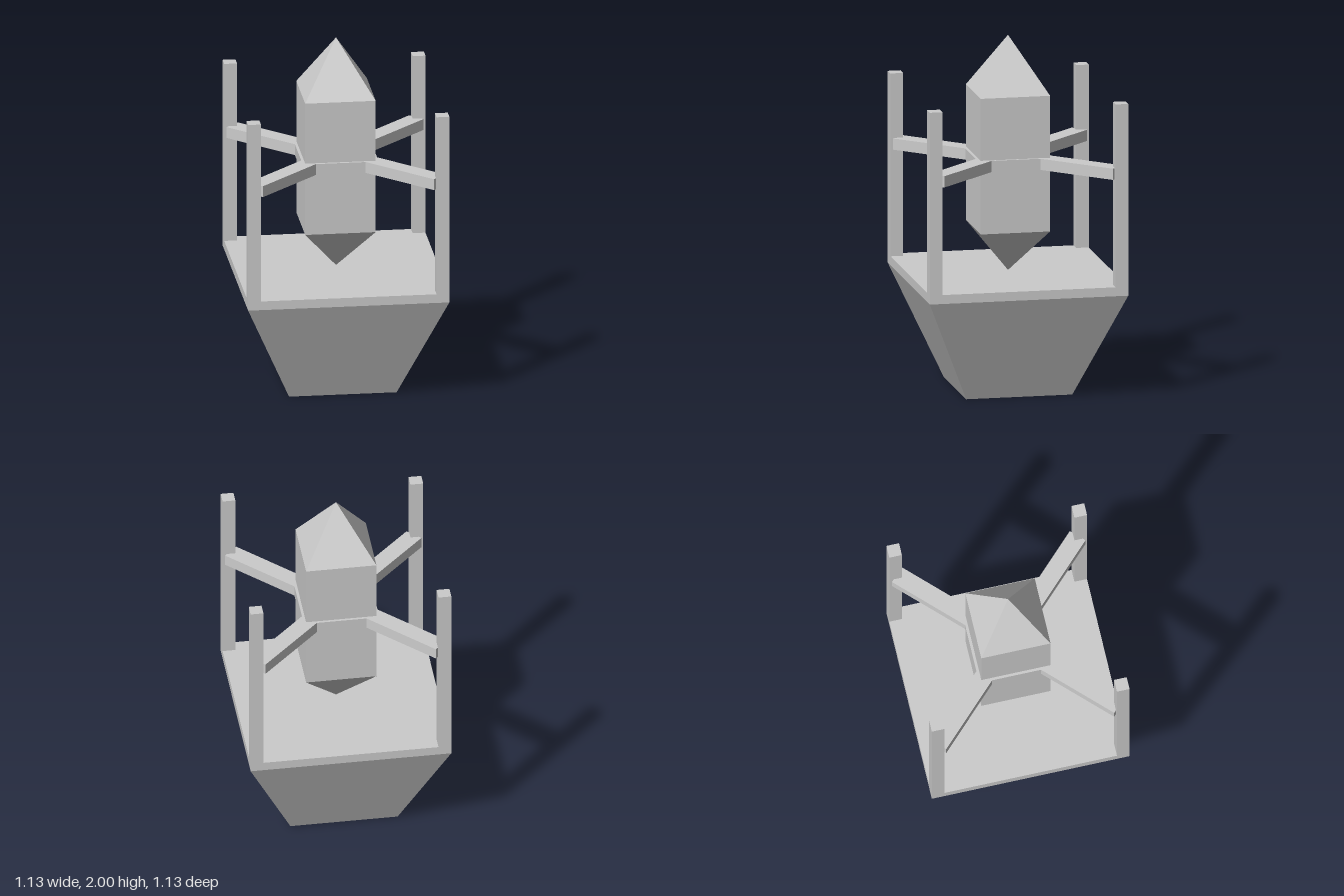
import * as THREE from 'three';

const material = new THREE.MeshStandardMaterial({ color: 0xcccccc, flatShading: true });

// Square solid from [halfWidth, y] pairs listed from bottom to top
function squareSolid(name, profile) {
  const points = profile.map(([half, y]) => new THREE.Vector2(half * Math.SQRT2, y));
  const mesh = new THREE.Mesh(new THREE.LatheGeometry(points, 4, Math.PI / 4), material);
  mesh.name = name;
  return mesh;
}

export function createModel() {
  const group = new THREE.Group();
  group.name = 'crystalPedestal';

  // Tapered base with a straight rim
  group.add(squareSolid('base', [[0, 0], [0.302, 0], [0.565, 0.607], [0.565, 0.658], [0, 0.658]]));

  // Floating crystal, pointed at both ends
  group.add(squareSolid('crystal', [[0, 0.66], [0.198, 0.912], [0.198, 1.685], [0, 2]]));

  // Corner posts
  const postGeometry = new THREE.BoxGeometry(0.072, 1.06, 0.072);
  for (const x of [-1, 1]) {
    for (const z of [-1, 1]) {
      const post = new THREE.Mesh(postGeometry, material);
      post.name = 'cornerPost';
      post.position.set(x * 0.529, 1.17, z * 0.529);
      group.add(post);
    }
  }

  // Collar around the crystal with four diagonal arms into the posts
  const outline = [];
  for (let i = 0; i < 4; i++) {
    for (const [x, y] of [[0.213, 0.14], [0.553, 0.48], [0.48, 0.553], [0.14, 0.213]]) {
      outline.push(new THREE.Vector2(x, y).rotateAround(new THREE.Vector2(), i * Math.PI / 2));
    }
  }
  const braceGeometry = new THREE.ExtrudeGeometry(new THREE.Shape(outline), { depth: 0.064, bevelEnabled: false });
  braceGeometry.rotateX(-Math.PI / 2);
  const brace = new THREE.Mesh(braceGeometry, material);
  brace.name = 'collarAndArms';
  brace.position.y = 1.268;
  group.add(brace);

  return group;
}
